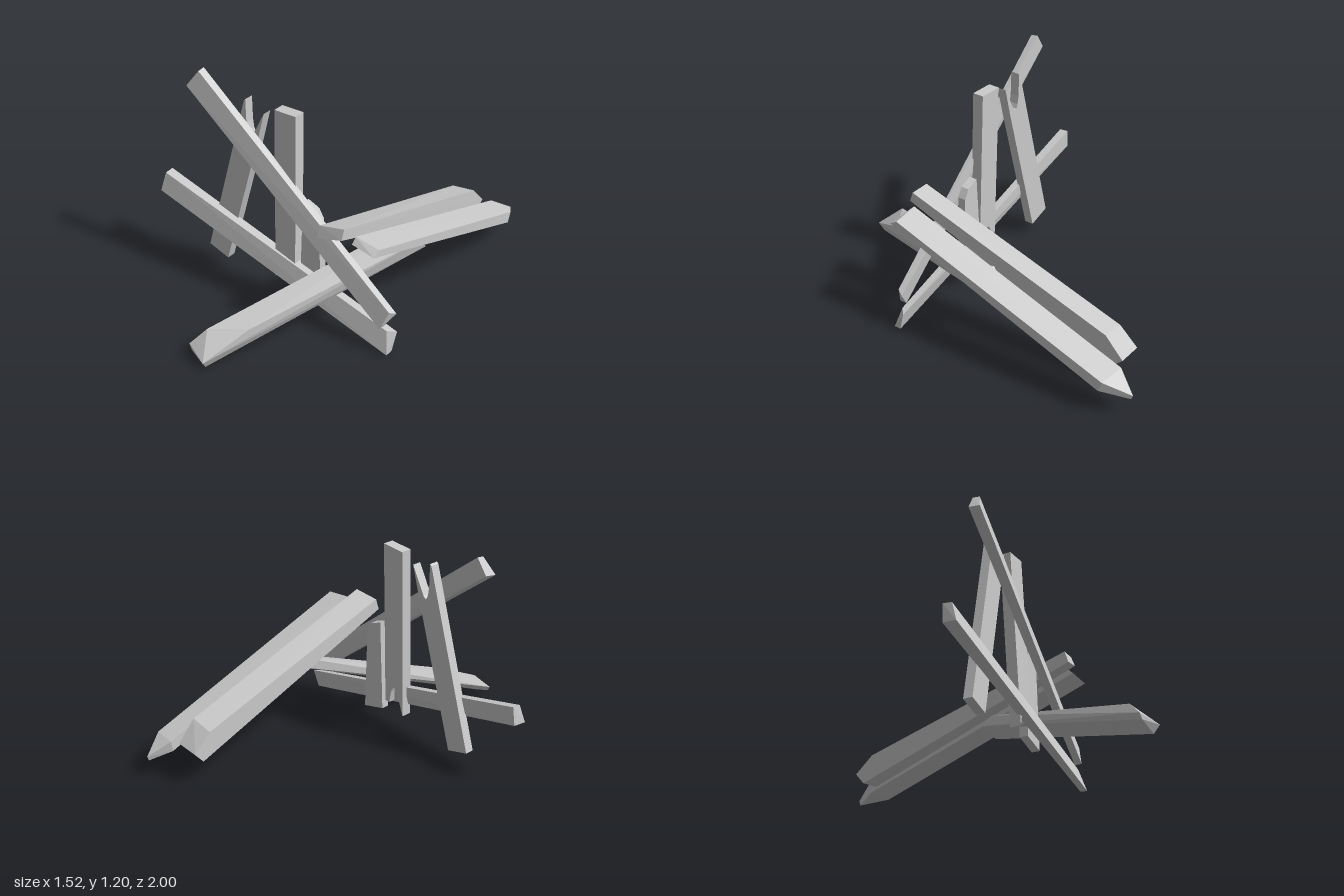
import * as THREE from 'three';
import { ConvexGeometry } from 'three/addons/geometries/ConvexGeometry.js';

const material = new THREE.MeshStandardMaterial({ color: 0xcccccc, flatShading: true });

export function createModel() {
  const group = new THREE.Group();

  const add = (name, geometry) => {
    const mesh = new THREE.Mesh(geometry, material);
    mesh.name = name;
    group.add(mesh);
  };

  // Solid rough-cut beam spanned by its corner points
  const beam = (name, corners) =>
    add(name, new ConvexGeometry(corners.map((c) => new THREE.Vector3(...c))));

  // Upright board: outline extruded in z, leaning by `lean` per unit of height
  const board = (name, shape, zBack, depth, lean = 0) => {
    const geometry = new THREE.ExtrudeGeometry(shape, { depth, bevelEnabled: false, curveSegments: 5 });
    const p = geometry.attributes.position;
    for (let i = 0; i < p.count; i++) p.setZ(i, p.getZ(i) + zBack + lean * p.getY(i));
    geometry.computeVertexNormals();
    add(name, geometry);
  };

  // Long rails crossing in front: start end, then finish end
  beam('upperDiagonalRail', [
    [-0.525, 1.10, 0.37], [-0.465, 1.19, 0.34], [-0.465, 1.195, 0.30], [-0.52, 1.11, 0.305],
    [0.70, 0.15, 0.345], [0.735, 0.255, 0.32], [0.755, 0.24, 0.285], [0.70, 0.15, 0.305],
  ]);
  beam('lowerDiagonalRail', [
    [-0.765, 0.365, 0.37], [-0.75, 0.47, 0.34], [-0.75, 0.475, 0.29], [-0.76, 0.37, 0.295],
    [0.75, 0.012, 0.35], [0.72, 0.13, 0.315], [0.76, 0.125, 0.28], [0.752, 0.015, 0.31],
  ]);

  // Left upright, split at the top
  const left = new THREE.Shape();
  left.moveTo(-0.48, 0.105);
  left.lineTo(-0.35, 0.07);
  left.lineTo(-0.13, 0.88);
  left.lineTo(-0.085, 1.06);
  left.lineTo(-0.145, 0.94);
  left.quadraticCurveTo(-0.185, 0.84, -0.2, 0.97);
  left.lineTo(-0.205, 1.10);
  left.lineTo(-0.215, 1.09);
  board('leftUpright', left, 0.255, 0.05, -0.018);

  // Middle upright, split at the bottom
  const middle = new THREE.Shape();
  middle.moveTo(0.003, 0.13);
  middle.lineTo(0.04, 0.25);
  middle.quadraticCurveTo(0.067, 0.32, 0.09, 0.25);
  middle.lineTo(0.105, 0.18);
  middle.lineTo(0.135, 0.18);
  middle.lineTo(0.12, 1.12);
  middle.lineTo(-0.015, 1.11);
  board('middleUpright', middle, 0.265, 0.06, -0.035);

  // Short upright with a broken, sloping top
  const short = new THREE.Shape();
  short.moveTo(0.145, 0.13);
  short.lineTo(0.285, 0.095);
  short.lineTo(0.265, 0.57);
  short.lineTo(0.235, 0.62);
  short.lineTo(0.165, 0.645);
  board('shortUpright', short, 0.245, 0.045);

  // Two planks leaning backwards
  beam('innerRearPlank', [
    [0.37, 0.60, 0.43], [0.505, 0.635, 0.41], [0.37, 0.665, 0.41], [0.505, 0.69, 0.39],
    [0.365, 0.285, -0.77], [0.50, 0.31, -0.77], [0.365, 0.19, -0.87], [0.50, 0.20, -0.87],
    [0.365, 0.13, -0.82], [0.50, 0.15, -0.82],
  ]);
  beam('outerRearPlank', [
    [0.545, 0.645, 0.35], [0.685, 0.63, 0.35], [0.545, 0.615, 0.38], [0.685, 0.605, 0.39],
    [0.545, 0.20, -0.89], [0.685, 0.195, -0.87], [0.545, 0.14, -0.88], [0.685, 0.135, -0.85],
    [0.61, 0.125, -1.0], [0.61, 0.10, -0.99],
  ]);

  // Front prop with a chamfered foot
  beam('frontProp', [
    [-0.02, 0.07, 0.95], [0.0, 0.04, 0.955], [0.105, 0.0, 0.97], [0.115, 0.045, 1.0],
    [0.04, 0.15, 0.88], [0.22, 0.17, 0.77],
    [0.50, 0.445, -0.11], [0.625, 0.415, -0.09], [0.52, 0.40, -0.16], [0.63, 0.355, -0.13],
  ]);

  return group;
}
